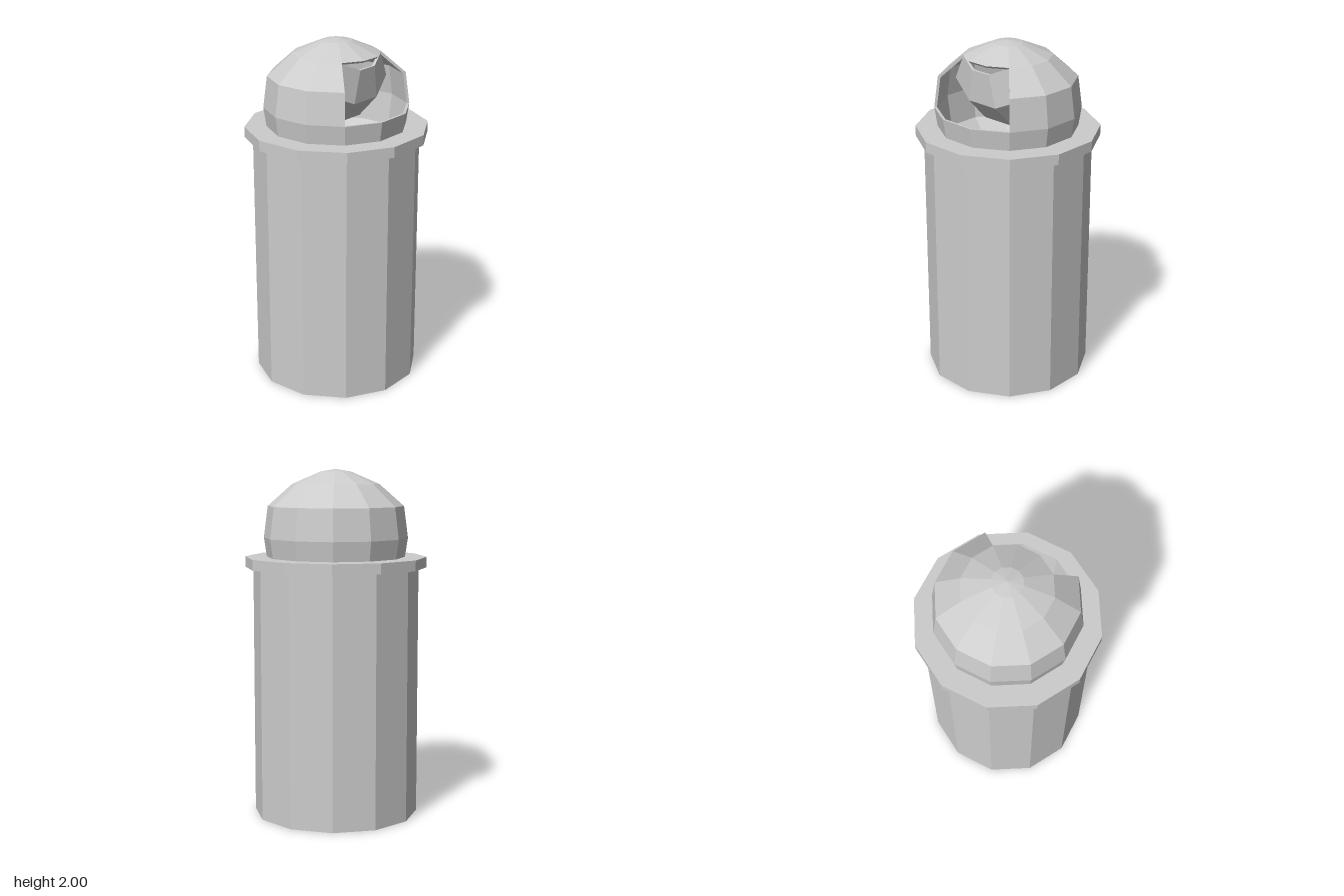
import * as THREE from 'three';

const SIDES = 12;
const STEP = (Math.PI * 2) / SIDES;
const FLAT = Math.cos(STEP / 2); // flat-to-flat half width -> corner radius

export function createModel() {
  const model = new THREE.Group();
  const grey = new THREE.MeshStandardMaterial({ color: 0xcccccc, flatShading: true, side: THREE.DoubleSide });
  grey.name = 'light grey metal';

  // Profile points are [half width across flats, height]
  const toPoints = (profile) => profile.map(([w, y]) => new THREE.Vector2(w / FLAT, y));

  const add = (name, geometry, parent = model) => {
    const mesh = new THREE.Mesh(geometry, grey);
    mesh.name = name;
    parent.add(mesh);
    return mesh;
  };

  // Faceted turned part covering `count` sides, starting at angle `start`
  const turned = (name, profile, parent = model, start = -1.5 * STEP, count = SIDES) =>
    add(name, new THREE.LatheGeometry(toPoints(profile), count, start, count * STEP), parent);

  // Flat end that closes a partly turned wall
  const endFace = (name, profile, angle, parent) => {
    const mesh = add(name, new THREE.ShapeGeometry(new THREE.Shape(toPoints(profile))), parent);
    mesh.rotation.y = angle - Math.PI / 2;
  };

  // Body with closed bottom, and the collar around its top
  turned('body', [[0, 0], [0.46, 0], [0.46, 1.45]]);
  turned('collar', [[0.375, 1.44], [0.505, 1.44], [0.505, 1.5], [0.375, 1.5], [0.375, 1.44]]);

  // Domed lid: crown, side wall with a front opening, and lower bowl
  const lid = new THREE.Group();
  lid.name = 'lid';
  model.add(lid);
  turned('lidCrown', [[0.24, 1.915], [0.083, 1.985], [0, 2], [0, 1.985], [0.08, 1.971], [0.23, 1.903], [0.24, 1.915]], lid);
  turned('lidBowl', [[0.377, 1.45], [0.4, 1.61], [0.385, 1.61], [0.362, 1.43], [0.23, 1.31], [0.08, 1.245], [0, 1.23]], lid);

  const wall = [[0.4, 1.61], [0.377, 1.79], [0.24, 1.915], [0.23, 1.903], [0.363, 1.782], [0.385, 1.61], [0.4, 1.61]];
  turned('lidWall', wall, lid, 1.5 * STEP, 9);
  for (const side of [-1, 1]) endFace('openingEdge', wall, side * 1.5 * STEP, lid);

  // Push flap: the missing front of the lid, swung inward on its top corners
  const hinge = new THREE.Group();
  hinge.name = 'pushFlap';
  hinge.position.set(0, 1.91, 0.175);
  hinge.rotation.x = THREE.MathUtils.degToRad(51);
  model.add(hinge);
  const flap = new THREE.Group();
  flap.name = 'flapPanels';
  flap.position.set(0, -1.915, -0.175);
  flap.scale.x = 0.99;
  hinge.add(flap);
  turned('flapPanel', wall, flap, -1.5 * STEP, 3);
  for (const side of [-1, 1]) endFace('flapEdge', wall, side * 1.5 * STEP, flap);

  return model;
}
